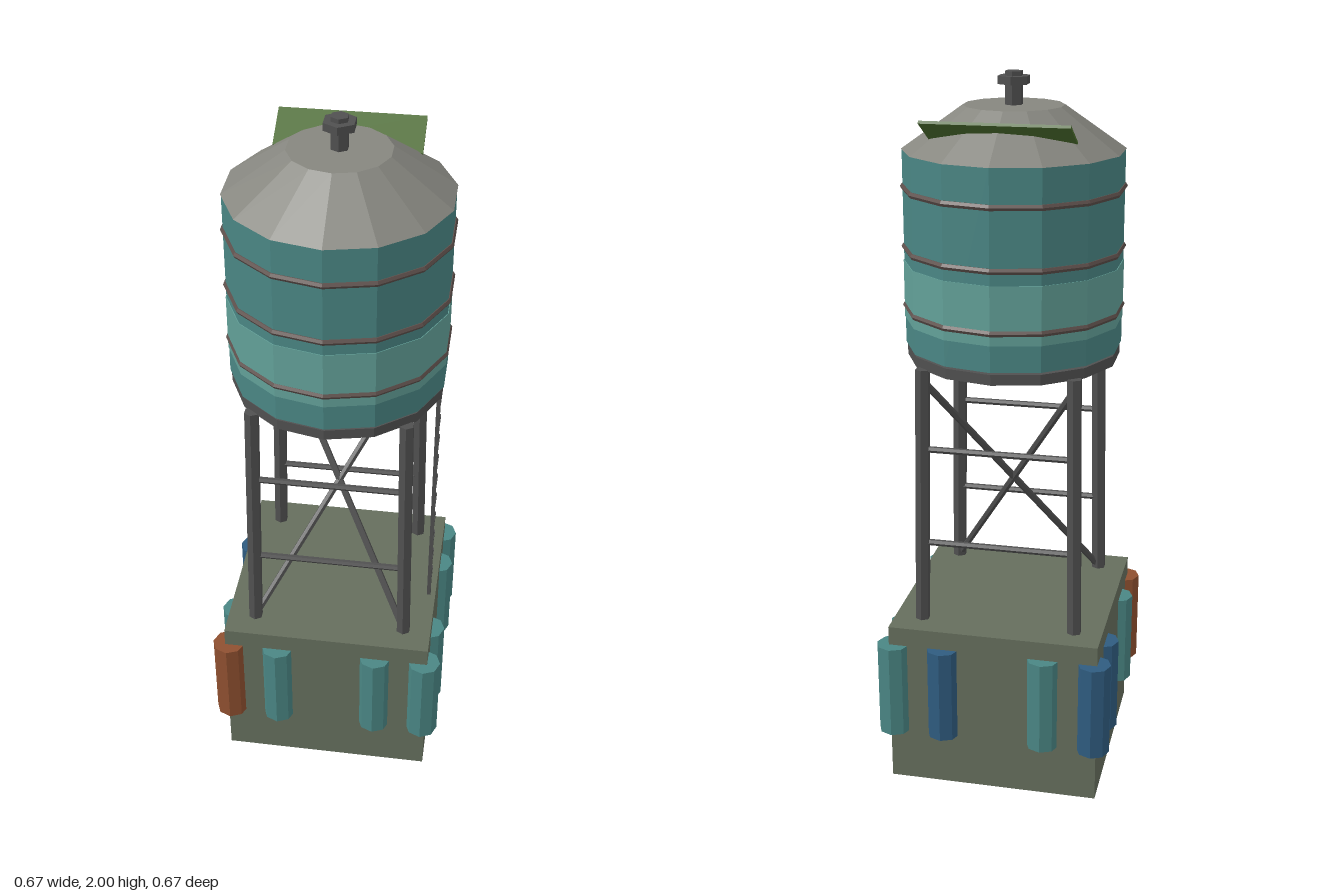
import * as THREE from 'three';

const mat = (color) => new THREE.MeshStandardMaterial({ color, flatShading: true });
const concrete = mat(0x656e5d), teal = mat(0x4a8684), paleTeal = mat(0x62a098), blue = mat(0x2f5c80);
const rust = mat(0x8f5030), steel = mat(0x505050), hoopSteel = mat(0x5e504c), roofGrey = mat(0x86867f), green = mat(0x4a6b2c);

export function createModel() {
  const model = new THREE.Group();

  const add = (name, geometry, material, x = 0, y = 0, z = 0) => {
    const mesh = new THREE.Mesh(geometry, material);
    mesh.name = name;
    mesh.position.set(x, y, z);
    model.add(mesh);
    return mesh;
  };
  // Upright prism between two heights
  const prism = (name, rTop, rBottom, y0, y1, sides, material, x = 0, z = 0) =>
    add(name, new THREE.CylinderGeometry(rTop, rBottom, y1 - y0, sides), material, x, (y0 + y1) / 2, z);
  // Straight bar between two points
  const bar = (name, a, b, radius, sides = 6) => {
    const from = new THREE.Vector3(...a), to = new THREE.Vector3(...b);
    const dir = to.clone().sub(from);
    const mesh = add(name, new THREE.CylinderGeometry(radius, radius, dir.length(), sides), steel);
    mesh.position.copy(from).add(to).multiplyScalar(0.5);
    mesh.quaternion.setFromUnitVectors(new THREE.Vector3(0, 1, 0), dir.normalize());
  };

  // Plinth
  add('base', new THREE.BoxGeometry(0.6, 0.485, 0.6), concrete, 0, 0.2425, 0);

  // Barrels round the edge of the plinth
  const barrels = [
    [-0.29, 0.29, rust], [-0.145, 0.29, teal], [0.145, 0.29, teal], [0.29, 0.29, teal],
    [-0.29, 0.145, teal], [0.29, 0.145, teal], [-0.29, -0.145, blue], [0.29, -0.145, teal],
    [-0.29, -0.29, blue], [-0.145, -0.29, teal], [0.145, -0.29, blue], [0.29, -0.29, teal],
  ];
  for (const [x, z, material] of barrels) prism('barrel', 0.047, 0.047, 0.155, 0.43, 8, material, x, z);

  // Legs, leaning slightly inward
  for (const sx of [-1, 1])
    for (const sz of [-1, 1])
      bar('leg', [sx * 0.22, 0.48, sz * 0.22], [sx * 0.208, 1.23, sz * 0.208], 0.021);

  // Level braces front and back, diagonals through the tower
  for (const sz of [-1, 1])
    for (const y of [0.72, 1.0]) bar('crossBrace', [-0.21, y, sz * 0.212], [0.21, y, sz * 0.212], 0.009);
  for (const sx of [-1, 1])
    bar('diagonalBrace', [sx * 0.212, 0.5, 0.212], [-sx * 0.21, 1.2, -0.21], 0.01);

  // Ladder: one rail with rungs to one side
  add('ladderRail', new THREE.BoxGeometry(0.011, 0.745, 0.011), steel, 0.28, 0.855, 0.058);
  for (let i = 0; i < 10; i++)
    add('ladderRung', new THREE.BoxGeometry(0.01, 0.01, 0.068), steel, 0.28, 0.535 + i * 0.0717, 0.025);

  // Platform and tank
  prism('platform', 0.296, 0.296, 1.226, 1.255, 14, steel);
  prism('tank', 0.3, 0.3, 1.262, 1.797, 14, teal);
  prism('tankStripe', 0.302, 0.302, 1.335, 1.495, 14, paleTeal);
  for (const y of [1.368, 1.533, 1.697]) {
    const hoop = new THREE.TorusGeometry(0.298, 0.009, 6, 14);
    hoop.rotateZ(Math.PI / 2).rotateX(Math.PI / 2);
    add('tankHoop', hoop, hoopSteel, 0, y, 0);
  }

  // Roof and vent
  prism('roof', 0.136, 0.302, 1.797, 1.913, 14, roofGrey);
  prism('ventPipe', 0.0245, 0.0245, 1.905, 2.0, 6, steel);
  prism('ventCollar', 0.045, 0.045, 1.967, 1.988, 6, steel);

  // Tilted panel set into the back of the roof
  const panel = add('roofPanel', new THREE.BoxGeometry(0.392, 0.008, 0.118), green, 0, 1.867, -0.191);
  panel.rotation.x = 0.5;

  return model;
}
